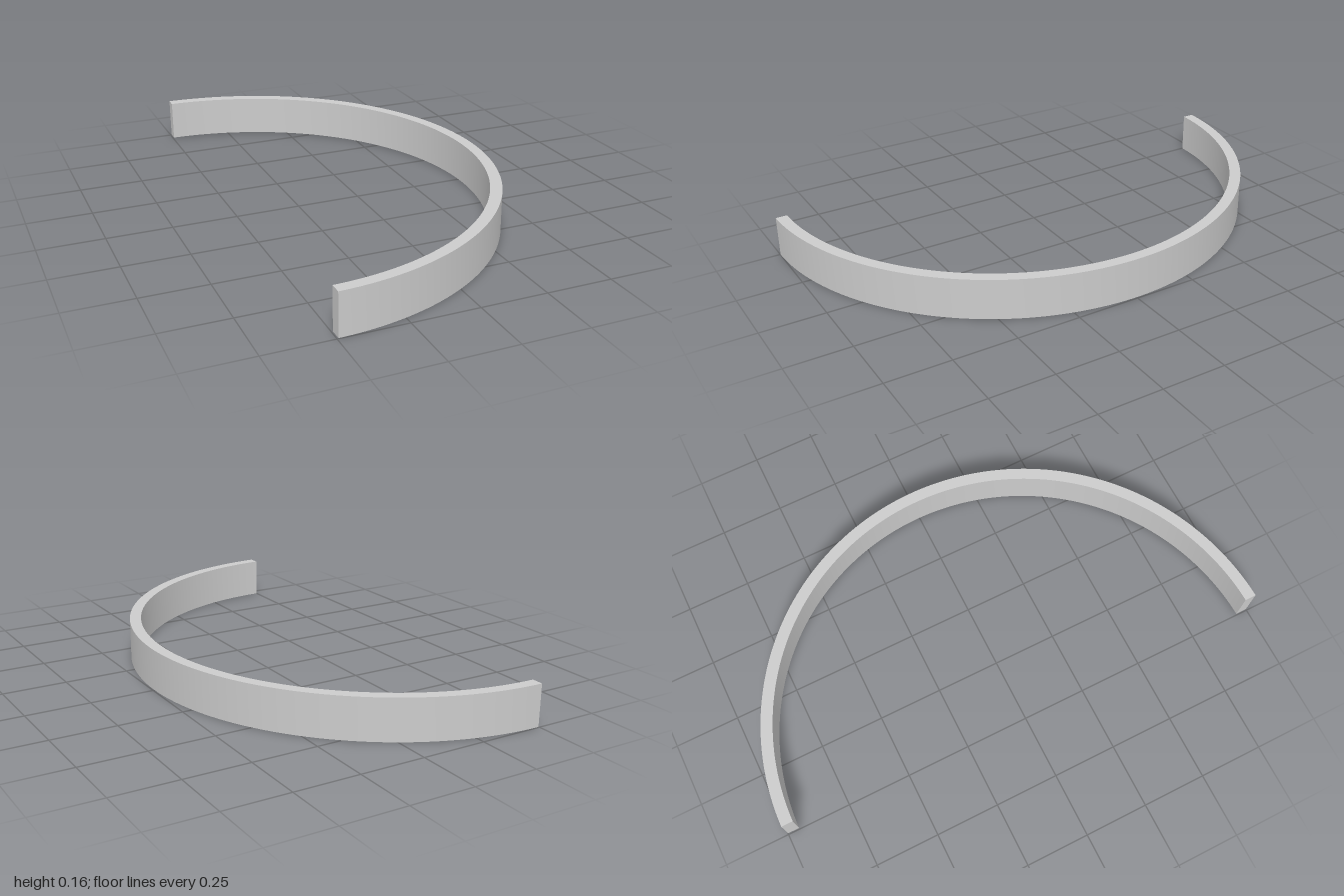
import * as THREE from 'three';
import { toCreasedNormals } from 'three/addons/utils/BufferGeometryUtils.js';

const CENTRE_X = -0.504;
const HALF_ANGLE = THREE.MathUtils.degToRad(89.5);

// Upright curved band between two radii, opening towards -x.
function arcBand(name, inner, outer, y0, y1, halfAngle, color) {
  const shape = new THREE.Shape();
  shape.absarc(0, 0, outer, -halfAngle, halfAngle, false);
  shape.absarc(0, 0, inner, halfAngle, -halfAngle, true);
  shape.closePath();
  const extruded = new THREE.ExtrudeGeometry(shape, {
    depth: y1 - y0, bevelEnabled: false, curveSegments: 64,
  });
  extruded.rotateX(-Math.PI / 2);
  extruded.translate(CENTRE_X, y0, 0);
  const mesh = new THREE.Mesh(
    toCreasedNormals(extruded, 0.5),
    new THREE.MeshStandardMaterial({ color })
  );
  mesh.name = name;
  return mesh;
}

export function createModel() {
  const model = new THREE.Group();
  model.name = 'halfRing';

  // Main half-ring body
  model.add(arcBand('ringBody', 0.955, 1, 0.002, 0.162, HALF_ANGLE, 0xcccccc));

  // Narrow coloured strip set along the underside
  model.add(arcBand('undersideStrip', 0.964, 0.991, 0, 0.01, HALF_ANGLE - 0.01, 0x0f8078));

  return model;
}
